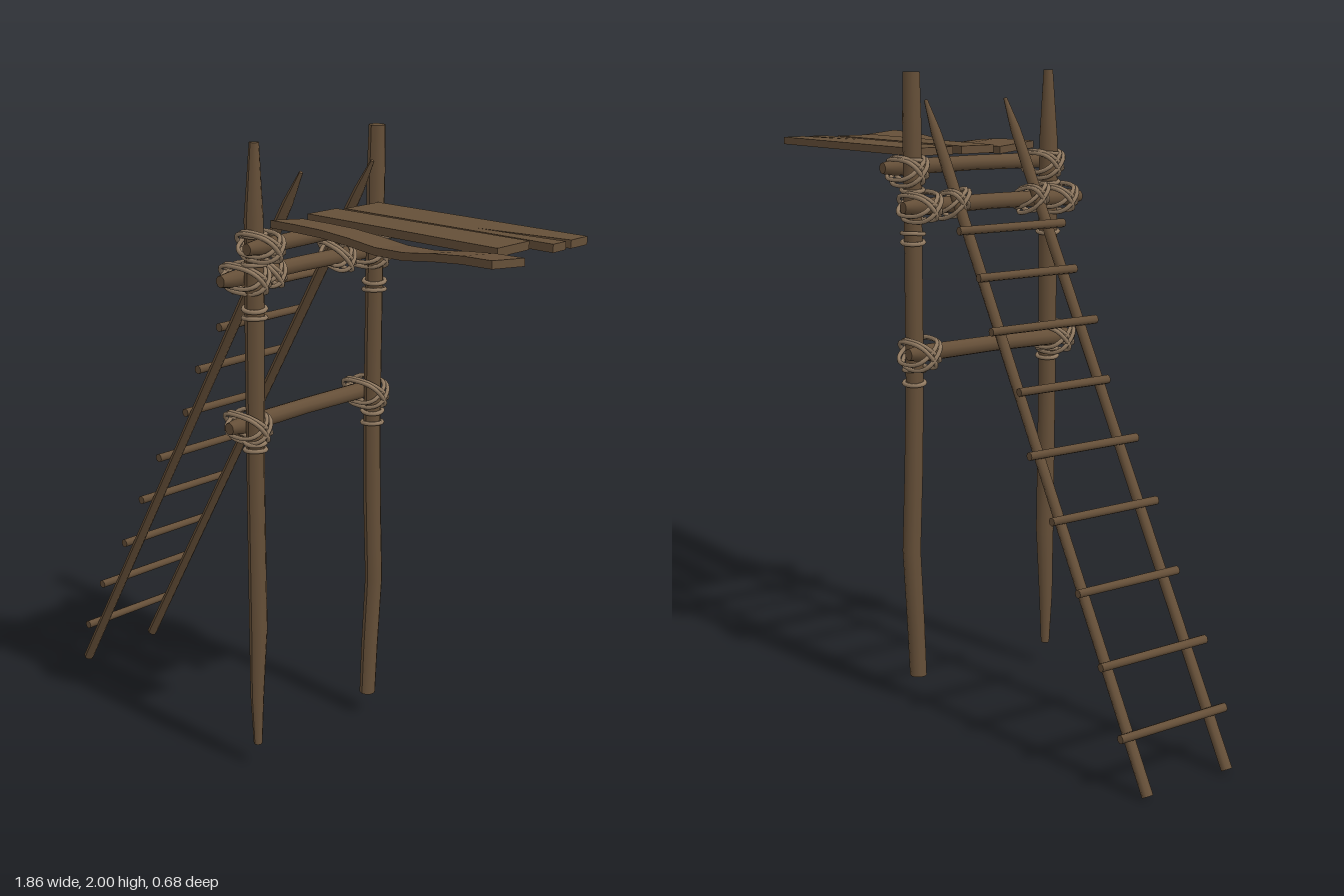
import * as THREE from 'three';

const wood = new THREE.MeshStandardMaterial({ color: 0x654f38 });
const plankWood = new THREE.MeshStandardMaterial({ color: 0x654f38, flatShading: true });
const ropeMat = new THREE.MeshStandardMaterial({ color: 0x927b62 });

function add(parent, name, geometry, material) {
  const mesh = new THREE.Mesh(geometry, material);
  mesh.name = name;
  parent.add(mesh);
  return mesh;
}

// Rough pole through sections [x, y, z, radius], given from bottom to top
function pole(sections, sides = 10) {
  const n = sections.length - 1;
  const geo = new THREE.CylinderGeometry(1, 1, 1, sides, n);
  const pts = sections.map(s => new THREE.Vector3(s[0], s[1], s[2]));
  const dir = pts[n].clone().sub(pts[0]).normalize();
  const q = new THREE.Quaternion().setFromUnitVectors(new THREE.Vector3(0, 1, 0), dir);
  const pos = geo.attributes.position;
  const v = new THREE.Vector3();
  for (let i = 0; i < pos.count; i++) {
    const k = Math.round((pos.getY(i) + 0.5) * n);
    const r = sections[k][3];
    v.set(pos.getX(i) * r, 0, pos.getZ(i) * r).applyQuaternion(q).add(pts[k]);
    pos.setXYZ(i, v.x, v.y, v.z);
  }
  geo.computeVertexNormals();
  return geo;
}

// Closed rope loop in the plane of directions u and w, squared off a little
function ropeLoop(c, u, w, a, b, r = 0.007) {
  const pts = [];
  const soft = t => Math.sign(t) * Math.pow(Math.abs(t), 0.75);
  for (let i = 0; i < 16; i++) {
    const t = (i / 16) * Math.PI * 2;
    pts.push(c.clone().addScaledVector(u, a * soft(Math.cos(t))).addScaledVector(w, b * soft(Math.sin(t))));
  }
  return new THREE.TubeGeometry(new THREE.CatmullRomCurve3(pts, true), 32, r, 6, true);
}

// Crossed lashing: doubled loops on both diagonals of a joint
function lashing(parent, name, x, y, z, a, b, u = new THREE.Vector3(1, 0, 0)) {
  const g = new THREE.Group();
  g.name = name;
  for (const s of [-1, 1]) {
    for (const k of [-1, 1]) {
      const w = new THREE.Vector3(0, 1, s * (1 + 0.18 * k)).normalize();
      const c = new THREE.Vector3(x, y + k * 0.006, z - s * k * 0.007);
      add(g, 'ropeLoop', ropeLoop(c, u, w, a - 0.004 * k, b + 0.003 * s), ropeMat);
    }
  }
  parent.add(g);
}

// Rope rings round a post
function rings(parent, x, z, heights, r) {
  heights.forEach((y, i) => {
    const ring = add(parent, 'ropeRing', new THREE.TorusGeometry(r, 0.007, 6, 20), ropeMat);
    ring.position.set(x, y, z);
    ring.rotation.set(Math.PI / 2 + (i % 2 ? 0.08 : -0.06), i % 2 ? -0.06 : 0.08, 0);
  });
}

// Board between x0 and x1, with edges, height and sideways tilt varying along it
function board(x0, x1, back, front, height, tilt, thick) {
  const geo = new THREE.BoxGeometry(1, 1, 1, 8, 1, 1);
  const pos = geo.attributes.position;
  for (let i = 0; i < pos.count; i++) {
    const t = pos.getX(i) + 0.5;
    const s = pos.getZ(i) + 0.5;
    const z0 = THREE.MathUtils.lerp(back[0], back[1], t);
    const z1 = THREE.MathUtils.lerp(front[0], front[1], t);
    pos.setXYZ(i, x0 + (x1 - x0) * t, height(t) + pos.getY(i) * thick + tilt * (s - 0.5), z0 + (z1 - z0) * s);
  }
  geo.computeVertexNormals();
  return geo;
}

export function createModel() {
  const model = new THREE.Group();
  model.name = 'ladderPlatform';

  // Upright posts
  add(model, 'leftPost', pole([
    [0.095, 0.08, 0.25, 0.014], [0.093, 0.25, 0.25, 0.022], [0.1, 0.48, 0.25, 0.029],
    [0.095, 1.0, 0.252, 0.028], [0.095, 1.5, 0.252, 0.03], [0.095, 1.78, 0.253, 0.029],
    [0.097, 1.92, 0.253, 0.02], [0.098, 2, 0.253, 0.015]]), wood);
  add(model, 'rightPost', pole([
    [0.095, 0.08, -0.268, 0.027], [0.095, 0.25, -0.275, 0.028], [0.1, 0.5, -0.285, 0.029],
    [0.095, 0.75, -0.278, 0.029], [0.095, 1.05, -0.27, 0.028], [0.095, 1.6, -0.27, 0.028],
    [0.096, 1.85, -0.27, 0.029], [0.097, 2, -0.27, 0.026]]), wood);

  // Cross beams
  const beams = [['middleBeam', 0.052, 1.145, 0.32, 0.027], ['ladderBeam', 0.043, 1.598, 0.34, 0.026],
    ['platformBeam', 0.155, 1.71, 0.34, 0.025]];
  for (const [name, x, y, h, r] of beams) {
    add(model, name, pole([[x, y, -h, r * 0.7], [x, y, -h + 0.05, r], [x, y + 0.003, 0, r * 0.95],
      [x, y, h - 0.05, r], [x, y, h, r * 0.7]]), wood);
  }

  // Ladder
  const ladder = new THREE.Group();
  ladder.name = 'ladder';
  model.add(ladder);
  const foot = [-0.915, 0.009], tip = [0.176, 1.91];
  for (const z of [0.14, -0.165]) {
    const section = (t, r) => [foot[0] + (tip[0] - foot[0]) * t, foot[1] + (tip[1] - foot[1]) * t, z, r];
    add(ladder, 'ladderRail', pole([section(0, 0.017), section(0.5, 0.016), section(0.9, 0.018),
      section(0.95, 0.016), section(1, 0.006)], 8), wood);
  }
  const rungs = [[-0.85, 0.17, 0.2], [-0.76, 0.355, 0.2], [-0.642, 0.54, 0.19], [-0.532, 0.73, 0.2],
    [-0.43, 0.905, 0.205], [-0.333, 1.075, 0.17], [-0.235, 1.245, 0.2], [-0.15, 1.395, 0.185], [-0.07, 1.53, 0.2]];
  for (const [x, y, h] of rungs) {
    add(ladder, 'rung', pole([[x, y, -0.014 - h, 0.013], [x, y, -0.014 + h, 0.014]], 8), wood);
  }

  // Split plank at the back, its crack cut as a notch
  const split = new THREE.Shape([[0.13, 0.095], [0.895, 0.11], [0.895, 0.168], [0.6, 0.14], [0.895, 0.192],
    [0.895, 0.268], [0.13, 0.245]].map(p => new THREE.Vector2(...p)));
  const splitGeo = new THREE.ExtrudeGeometry(split, { depth: 0.024, bevelEnabled: false });
  splitGeo.rotateX(-Math.PI / 2);
  add(model, 'rightPlank', splitGeo, plankWood).position.y = 1.744;

  // Middle plank and sagging front plank
  add(model, 'middlePlank', board(0.115, 0.825, [-0.073, -0.095], [0.05, 0.045], () => 1.757, 0, 0.025), plankWood);
  const sag = t => 1.757 - 0.025 * Math.exp(-Math.pow((t - 0.56) / 0.2, 2));
  add(model, 'leftPlank', board(0.13, 0.93, [0.085, 0.06], [0.22, 0.2], sag, 0.014, 0.023), plankWood);

  // Rope lashings on the posts
  const ropes = new THREE.Group();
  ropes.name = 'ropes';
  model.add(ropes);
  for (const z of [0.252, -0.271]) {
    lashing(ropes, 'middleLashing', 0.064, 1.145, z, 0.076, 0.056);
    lashing(ropes, 'ladderBeamLashing', 0.056, 1.6, z, 0.083, 0.052);
    lashing(ropes, 'platformBeamLashing', 0.122, 1.705, z, 0.076, 0.052);
    rings(ropes, 0.095, z, [1.485, 1.512, 1.645, 1.735], 0.034);
    rings(ropes, 0.095, z, z > 0 ? [1.075, 1.1] : [1.045, 1.085], 0.033);
  }

  // Lashings tying the ladder rails to their beam
  const across = new THREE.Vector3(1, -0.25, 0).normalize();
  for (const z of [0.14, -0.165]) {
    lashing(ropes, 'railLashing', 0.034, 1.605, z, 0.058, 0.048, across);
  }
  return model;
}
